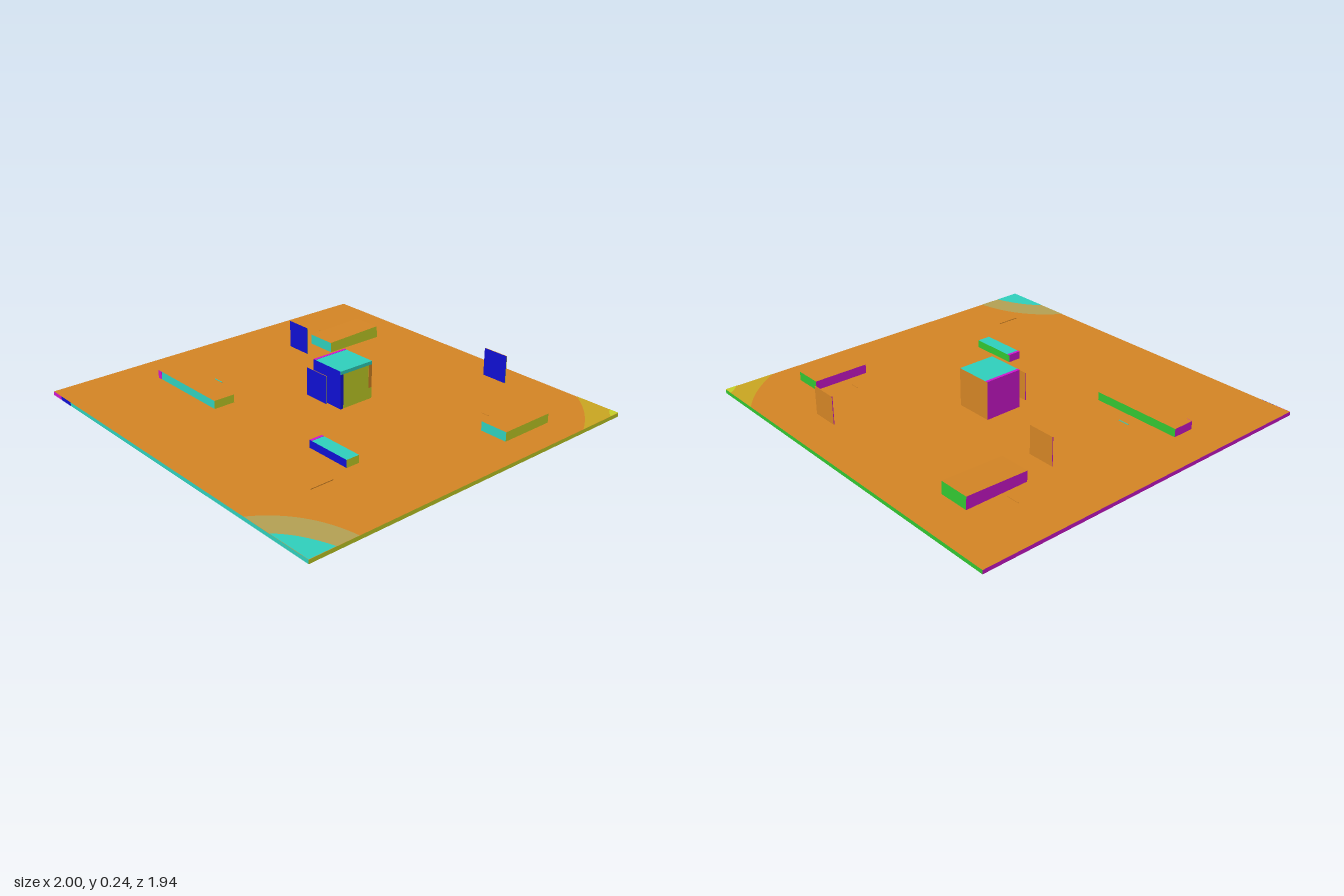
import * as THREE from 'three';

const mat = (name, color) => Object.assign(new THREE.MeshStandardMaterial({ color }), { name });

export function createModel() {
  const group = new THREE.Group();
  const orange = mat('orange', 0xd68625), teal = mat('teal', 0x30d2be), yellow = mat('yellow', 0xc6d227),
    blue = mat('blue', 0x1010d4), magenta = mat('magenta', 0xd018d0), green = mat('green', 0x32c832),
    gold = mat('gold', 0xcca822), tan = mat('tan', 0xb6a254);

  // Box from its limits, with one colour for each direction
  function block(name, [x0, x1], [y0, y1], [z0, z1], { top = orange, front = teal, back = green } = {}) {
    const mesh = new THREE.Mesh(new THREE.BoxGeometry(x1 - x0, y1 - y0, z1 - z0),
      [yellow, magenta, top, blue, front, back]);
    mesh.position.set((x0 + x1) / 2, (y0 + y1) / 2, (z0 + z1) / 2);
    mesh.name = name;
    group.add(mesh);
    return mesh;
  }

  // Thin painted plate or rod in one colour
  function plate(name, x, y, z, material) {
    const mesh = new THREE.Mesh(new THREE.BoxGeometry(x[1] - x[0], y[1] - y[0], z[1] - z[0]), material);
    mesh.position.set((x[0] + x[1]) / 2, (y[0] + y[1]) / 2, (z[0] + z[1]) / 2);
    mesh.name = name;
    group.add(mesh);
  }

  // Ground slab and the blocks on it
  block('groundSlab', [-1, 1], [0.01, 0.03], [-0.97, 0.97]);
  block('rearRightBlock', [-0.64, -0.475], [0, 0.09], [-0.755, -0.415]).rotation.x = 0.03;
  block('rearLeftBlock', [0.695, 0.845], [0.02, 0.078], [-0.63, -0.33]);
  block('longFrontBlock', [-0.8, -0.305], [0.02, 0.073], [0.36, 0.477]);
  block('smallFrontBlock', [0.305, 0.557], [0.02, 0.07], [0.313, 0.386], { top: teal, front: blue });
  block('centreCube', [-0.105, 0.097], [0.02, 0.23], [-0.185, 0.018], { top: teal, front: blue, back: orange });

  // Painted strips along edges
  plate('cubeTopStrip', [-0.105, -0.09], [0.23, 0.231], [-0.185, 0.018], magenta);
  plate('cubeUpperStrip', [0.097, 0.098], [0.212, 0.23], [-0.185, 0.018], teal);
  plate('cubeFrontStrip', [0.097, 0.098], [0.03, 0.212], [0.001, 0.018], blue);
  plate('cubeRearStrip', [0.097, 0.098], [0.09, 0.212], [-0.185, -0.165], orange);
  plate('smallBlockStrip', [0.305, 0.32], [0.07, 0.071], [0.313, 0.386], magenta);
  plate('longBlockStrip', [-0.8, -0.77], [0.03, 0.073], [0.477, 0.478], magenta);
  plate('slabEdgeEnd', [-1, -0.92], [0.01, 0.03], [0.97, 0.971], magenta);
  plate('slabEdgeNext', [-0.92, -0.83], [0.01, 0.03], [0.97, 0.971], blue);

  // Upright signs
  for (const [x, z] of [[-0.645, -0.272], [0.3, -0.783], [-0.102, 0.06]])
    block('uprightSign', [x, x + 0.145], [0.052, 0.2], [z - 0.002, z + 0.002], { front: blue, back: orange });

  // Thin rods close to the ground
  plate('sideRod', [0.648, 0.652], [0.069, 0.073], [0.545, 0.67], orange);
  plate('rearRightRod', [-0.75, -0.68], [0.036, 0.039], [-0.565, -0.562], orange);
  plate('rearLeftRod', [0.575, 0.622], [0.034, 0.037], [-0.467, -0.464], orange);
  plate('frontRod', [-0.585, -0.525], [0.036, 0.039], [0.274, 0.278], teal);

  // Curved patches in the slab's corners: from the z edge to the x edge
  function patch(name, side, xEdge, zEdge, cx, cz, y, material) {
    const shape = new THREE.Shape();
    shape.moveTo(1, -0.97 * side);
    shape.lineTo(xEdge, -0.97 * side);
    shape.quadraticCurveTo(cx, -cz * side, 1, -zEdge * side);
    const mesh = new THREE.Mesh(new THREE.ShapeGeometry(shape, 16), material);
    mesh.rotation.x = -Math.PI / 2;
    mesh.position.y = y;
    mesh.name = name;
    group.add(mesh);
  }
  patch('frontPatch', 1, 0.59, 0.71, 0.72, 0.75, 0.031, tan);
  patch('frontPatchCorner', 1, 0.76, 0.83, 0.84, 0.88, 0.032, teal);
  patch('rearPatch', -1, 0.75, 0.7, 0.9, 0.87, 0.031, gold);
  patch('rearPatchCorner', -1, 0.95, 0.91, 0.965, 0.94, 0.032, yellow);

  return group;
}
